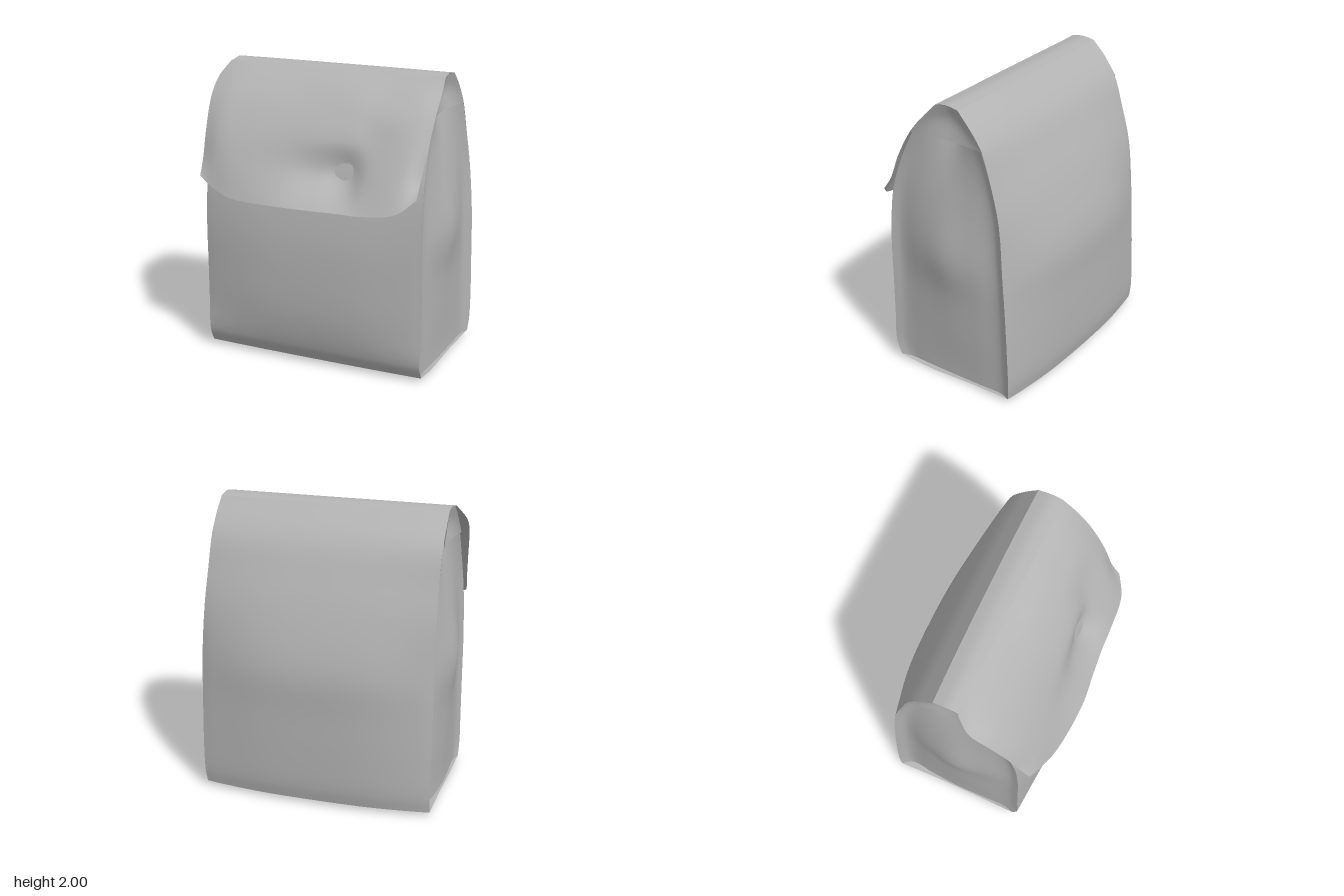
import * as THREE from 'three';

const paper = new THREE.MeshStandardMaterial({ color: 0xb4b4b4, side: THREE.DoubleSide });
paper.name = 'grey paper';

// Smooth skin through rows of [x, y, z] control points
function skin(name, rows, nu = 28, nv = 28) {
  const curves = rows.map(r => new THREE.CatmullRomCurve3(r.map(p => new THREE.Vector3(...p))));
  const pos = [], index = [];
  for (let i = 0; i <= nu; i++) {
    const column = new THREE.CatmullRomCurve3(curves.map(c => c.getPoint(i / nu)));
    for (let j = 0; j <= nv; j++) pos.push(...column.getPoint(j / nv).toArray());
  }
  for (let i = 0; i < nu; i++) for (let j = 0; j < nv; j++) {
    const a = i * (nv + 1) + j, b = a + nv + 1;
    index.push(a, b, a + 1, b, b + 1, a + 1);
  }
  const geo = new THREE.BufferGeometry();
  geo.setAttribute('position', new THREE.Float32BufferAttribute(pos, 3));
  geo.setIndex(index);
  geo.computeVertexNormals();
  const mesh = new THREE.Mesh(geo, paper);
  mesh.name = name;
  return mesh;
}

// Row across the bag: z eases from the seams to a fuller middle
const across = (y, zSeam, zMid, xLeft = 0.78, xRight = xLeft) =>
  [-1, -0.9, -0.5, 0, 0.5, 0.9, 1].map(u =>
    [u * (u < 0 ? xRight : xLeft), y, zSeam + (zMid - zSeam) * (1 - Math.abs(u) ** 2.6)]);

// Levels of the body: y, front seam z, back seam z, front middle z, back middle z,
// front seam x, left back seam x, side middle x
const levels = [
  [0.03, 0.39, -0.52, 0.40, -0.58, 0.79, 0.80, 0.775],
  [0.13, 0.43, -0.53, 0.45, -0.60, 0.79, 0.81, 0.775],
  [0.35, 0.43, -0.525, 0.495, -0.61, 0.79, 0.815, 0.785],
  [0.65, 0.43, -0.51, 0.505, -0.613, 0.79, 0.815, 0.80],
  [0.95, 0.43, -0.49, 0.49, -0.612, 0.79, 0.815, 0.84],
  [1.3, 0.40, -0.455, 0.43, -0.52, 0.785, 0.80, 0.79],
  [1.55, 0.32, -0.39, 0.35, -0.425, 0.78, 0.79, 0.74],
  [1.78, 0.21, -0.31, 0.22, -0.32, 0.78, 0.785, 0.69],
];

export function createModel() {
  const bag = new THREE.Group();
  bag.name = 'paperBag';

  // Front panel, continuing up behind the flap
  bag.add(skin('frontPanel', levels.map(([y, f, , fm, , w]) => across(y, f, fm, w))));

  // Back panel, up to the top fold
  const backRows = levels.map(([y, , b, , bm, w, wl]) => across(y, b, bm, wl, w));
  bag.add(skin('backPanel', [...backRows, across(1.985, -0.14, -0.15)].reverse(), 28, 32));

  // Narrow ridge along the top
  bag.add(skin('topFold', [
    across(1.985, 0.03, 0.03), across(1.998, -0.05, -0.06), across(1.985, -0.14, -0.15),
  ], 28, 6));

  // Bottom, lowest towards the front
  bag.add(skin('bottom', [
    backRows[0], across(0.012, -0.2, -0.2), across(0, 0.17, 0.17), across(0.03, 0.39, 0.40, 0.79),
  ], 28, 10));

  // Flap: slopes forward to the hem, pushed in right of the middle
  const flapU = [0, 0.075, 0.175, 0.4, 0.55, 0.675, 0.775, 0.925, 1];
  const hemY = [1.27, 1.21, 1.165, 1.16, 1.155, 1.155, 1.155, 1.19, 1.28];
  const flapRows = [
    [-0.785, 0.77, 0, [0.51, 0.55, 0.59, 0.62, 0.60, 0.585, 0.58, 0.56, 0.49]],
    [-0.795, 0.77, 1.37, [0.45, 0.49, 0.51, 0.49, 0.44, 0.40, 0.46, 0.47, 0.43]],
    [-0.815, 0.785, 1.57, [0.36, 0.40, 0.41, 0.405, 0.40, 0.385, 0.365, 0.365, 0.34]],
    [-0.84, 0.79, 1.76, [0.24, 0.27, 0.28, 0.28, 0.28, 0.28, 0.27, 0.25, 0.23]],
    [-0.845, 0.79, 1.88, [0.12, 0.15, 0.16, 0.16, 0.17, 0.17, 0.16, 0.15, 0.13]],
    [-0.79, 0.78, 1.985, [0.03, 0.03, 0.03, 0.03, 0.03, 0.03, 0.03, 0.03, 0.03]],
  ].map(([x0, x1, y, zs]) => zs.map((z, i) => [x0 + (x1 - x0) * flapU[i], y || hemY[i], z]));
  bag.add(skin('flap', flapRows, 48, 42));

  for (const s of [1, -1]) {
    const side = s > 0 ? 'left' : 'right';
    const facing = row => (s > 0 ? row : row.reverse());

    // Side panel, peaked at mid height; the right one is sunk along the back seam
    bag.add(skin(side + 'SidePanel', levels.map(([y, f, b, , , xf, xl, xm]) => {
      const xb = s > 0 ? xl : xf;
      const groove = xf - (s > 0 ? 0.015 : 0.045);
      return facing([[0, xf], [0.08, xf - 0.02], [0.27, (xf - 0.02 + xm) / 2], [0.5, xm],
        [0.73, (groove + xm) / 2], [0.92, groove], [1, xb]]
        .map(([t, x]) => [s * x, y, f + (b - f) * t]));
    })));

    // Folded end closing the top above the side panel
    bag.add(skin(side + 'TopEnd', [
      [1.755, 0.24, -0.325, 0.785, 0.03], [1.88, 0.13, -0.235, 0.785, 0.05], [1.985, 0.03, -0.14, 0.78, 0.02],
    ].map(([y, f, b, x, dip]) => facing([0, 0.25, 0.5, 0.75, 1].map(t =>
      [s * (x - dip * Math.sin(Math.PI * t)), y, f + (b - f) * t]))), 12, 8));
  }
  return bag;
}
